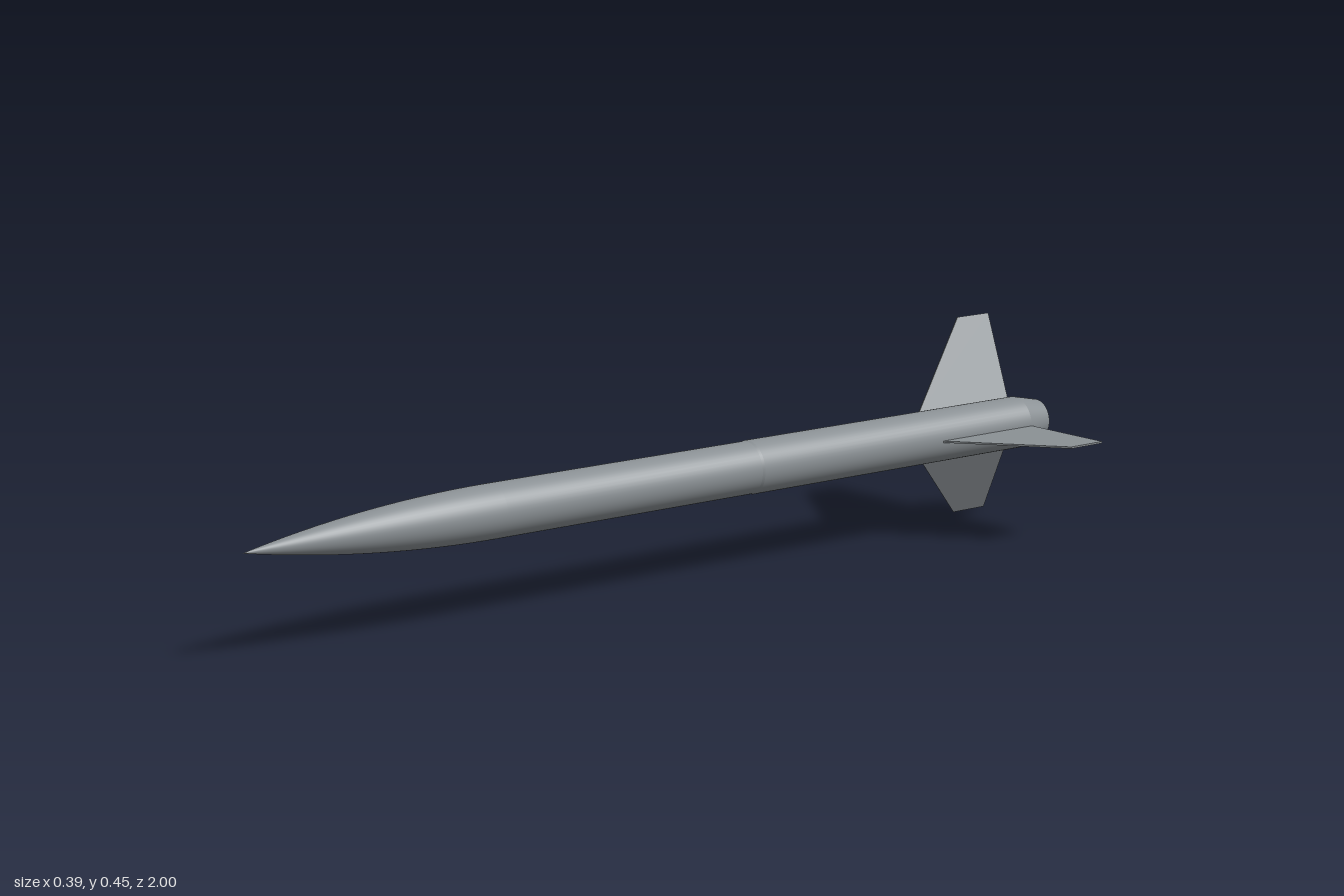
import * as THREE from 'three';

const AXIS_X = -0.065, AXIS_Y = 0.228; // body axis, parallel to z
const R_BODY = 0.0567, R_BOOSTER = 0.058;

export function createModel() {
  const model = new THREE.Group();
  model.name = 'rocket';
  const rocket = new THREE.Group();
  rocket.name = 'airframe';
  rocket.position.set(AXIS_X, AXIS_Y, 0);
  model.add(rocket);

  const mat = new THREE.MeshStandardMaterial({ color: 0x8b9195 });

  // Round part from [radius, z] points running tail to nose along the outside
  const turned = (name, points) => {
    const geo = new THREE.LatheGeometry(points.map(([r, z]) => new THREE.Vector2(r, z)), 48);
    geo.rotateX(Math.PI / 2);
    const mesh = new THREE.Mesh(geo, mat);
    mesh.name = name;
    rocket.add(mesh);
  };

  // Tangent ogive nose
  const noseLength = 0.56, noseBase = 1 - noseLength;
  const rho = (R_BODY ** 2 + noseLength ** 2) / (2 * R_BODY);
  const nose = [];
  for (let i = 0; i <= 24; i++) {
    const d = noseLength * i / 24;
    nose.push([Math.max(0, Math.sqrt(rho * rho - d * d) + R_BODY - rho), noseBase + d]);
  }
  turned('noseCone', nose);

  // Front tube, and the slightly wider rear stage with its soft step
  turned('frontBody', [[R_BODY, -0.188], [R_BODY, noseBase]]);
  turned('stageStep', [[R_BOOSTER, -0.194], [R_BODY, -0.188]]);
  turned('rearBody', [[R_BOOSTER, -0.935], [R_BOOSTER, -0.194]]);

  // Tapered tail, rim and hollow nozzle
  turned('boatTail', [[0.044, -1], [R_BOOSTER, -0.935]]);
  turned('tailRim', [[0.032, -1], [0.044, -1]]);
  turned('nozzleBell', [[0.016, -0.92], [0.024, -0.955], [0.032, -1]]);
  turned('nozzleThroat', [[0, -0.92], [0.016, -0.92]]);

  // Three thin swept fins, drawn as (radius, -z) and laid flat
  const thickness = 0.004;
  const outline = [[0.05, 0.672], [0.261, 0.87], [0.261, 0.96], [0.05, 0.935]];
  const finGeo = new THREE.ExtrudeGeometry(
    new THREE.Shape(outline.map(([r, z]) => new THREE.Vector2(r, z))),
    { depth: thickness, bevelEnabled: false });
  finGeo.translate(0, 0, -thickness / 2);
  finGeo.rotateX(-Math.PI / 2);
  ['leftFin', 'upperFin', 'lowerFin'].forEach((name, i) => {
    const fin = new THREE.Mesh(finGeo, mat);
    fin.name = name;
    fin.rotation.z = i * Math.PI * 2 / 3;
    rocket.add(fin);
  });

  return model;
}
